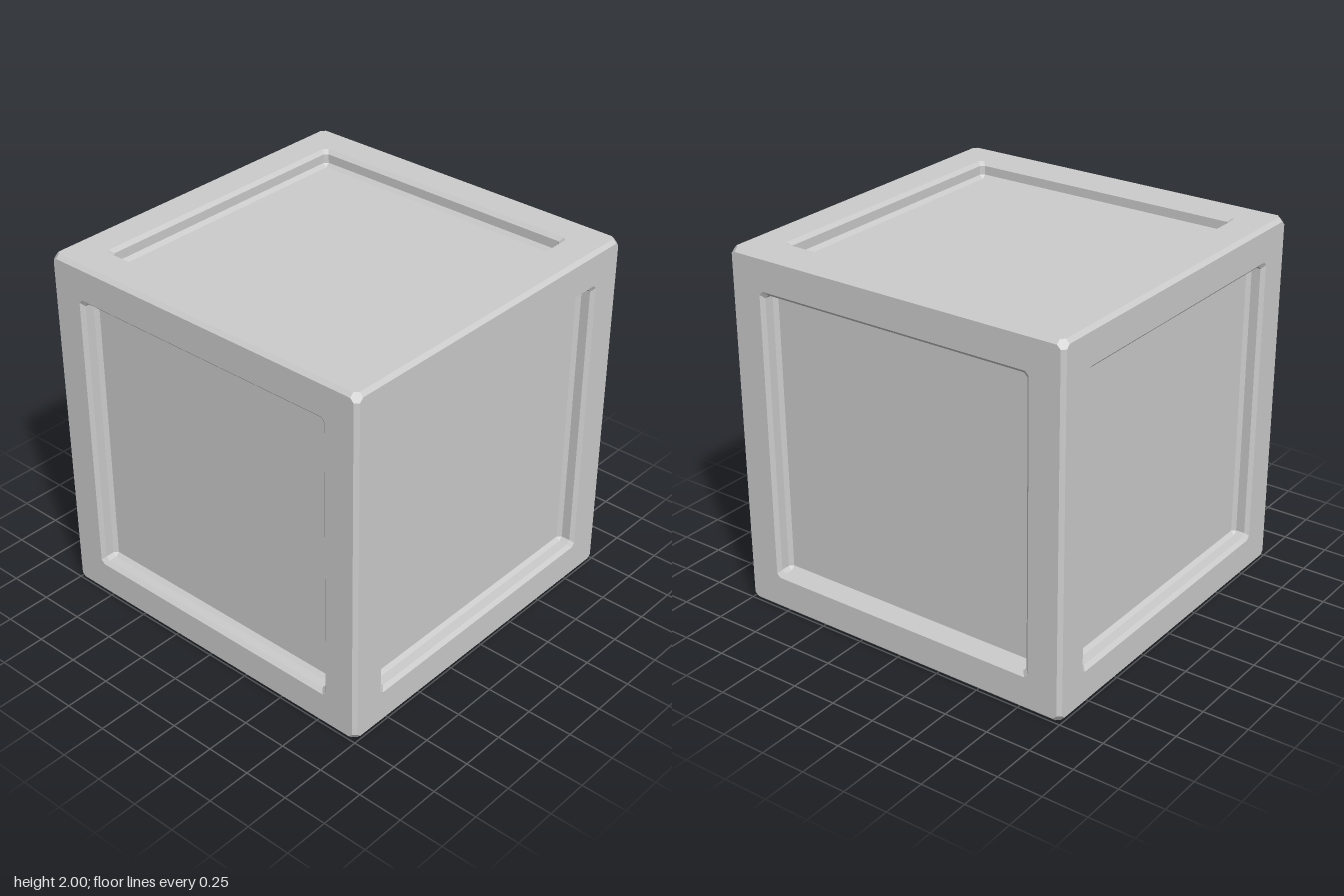
import * as THREE from 'three';

const material = new THREE.MeshStandardMaterial({ color: 0xcccccc, flatShading: true });

// Square of half size s with corners cut by c, at height z, anticlockwise
function ring(s, c, z) {
  const points = [];
  for (let k = 0; k < 4; k++) {
    for (const [x, y] of [[s, s - c], [s - c, s]]) {
      points.push(new THREE.Vector3(x, y, z).applyAxisAngle(new THREE.Vector3(0, 0, 1), k * Math.PI / 2));
    }
  }
  return points;
}

// Mesh from convex polygons, each split into a fan
function polygonMesh(name, polygons) {
  const points = [];
  for (const p of polygons) {
    for (let i = 1; i < p.length - 1; i++) {
      const tri = new THREE.Triangle(p[0], p[i], p[i + 1]);
      if (tri.getArea() > 1e-8) points.push(p[0], p[i], p[i + 1]);
    }
  }
  const geometry = new THREE.BufferGeometry().setFromPoints(points);
  geometry.computeVertexNormals();
  const mesh = new THREE.Mesh(geometry, material);
  mesh.name = name;
  return mesh;
}

// Turn a polygon so that it faces away from the cube's centre
function outward(p) {
  const normal = new THREE.Triangle(p[0], p[1], p[2]).getNormal(new THREE.Vector3());
  return normal.dot(p[0]) < 0 ? p.reverse() : p;
}

export function createModel() {
  const group = new THREE.Group();
  const cube = new THREE.Group();
  cube.name = 'cube';
  cube.position.y = 1;
  group.add(cube);

  // Six sides: flat border, bevelled lip, recess wall, bevelled foot, panel
  const rings = [
    ring(0.98, 0.02, 1),
    ring(0.81, 0.02, 1),
    ring(0.79, 0.02, 0.98),
    ring(0.79, 0.02, 0.93),
    ring(0.77, 0, 0.91),
  ];
  const border = [];
  for (let k = 0; k < rings.length - 1; k++) {
    for (let i = 0; i < 8; i++) {
      const j = (i + 1) % 8;
      border.push([rings[k][i], rings[k][j], rings[k + 1][j], rings[k + 1][i]]);
    }
  }
  const q = Math.PI / 2;
  const sides = {
    front: [0, 0], left: [0, q], back: [0, 2 * q], right: [0, -q], top: [-q, 0], bottom: [q, 0],
  };
  for (const [name, [rx, ry]] of Object.entries(sides)) {
    const side = new THREE.Group();
    side.name = name + 'Side';
    side.rotation.set(rx, ry, 0);
    side.add(polygonMesh('frame', border), polygonMesh('panel', [rings[4]]));
    cube.add(side);
  }

  // Twelve bevelled edges, four along each axis
  const edges = [];
  for (let axis = 0; axis < 3; axis++) {
    for (const a of [-1, 1]) for (const b of [-1, 1]) {
      const corner = (along, u, v) => {
        const p = new THREE.Vector3();
        p.setComponent(axis, along);
        p.setComponent((axis + 1) % 3, a * u);
        p.setComponent((axis + 2) % 3, b * v);
        return p;
      };
      edges.push(outward([
        corner(-0.96, 1, 0.98), corner(0.96, 1, 0.98), corner(0.96, 0.98, 1), corner(-0.96, 0.98, 1),
      ]));
    }
  }
  cube.add(polygonMesh('edgeBevels', edges));

  // Eight six-sided corner facets
  const [l, m, h] = [0.96, 0.98, 1];
  const hexagon = [[m, l, h], [l, m, h], [l, h, m], [m, h, l], [h, m, l], [h, l, m]];
  const corners = [];
  for (const x of [-1, 1]) for (const y of [-1, 1]) for (const z of [-1, 1]) {
    corners.push(outward(hexagon.map((p) => new THREE.Vector3(p[0] * x, p[1] * y, p[2] * z))));
  }
  cube.add(polygonMesh('cornerBevels', corners));

  return group;
}
